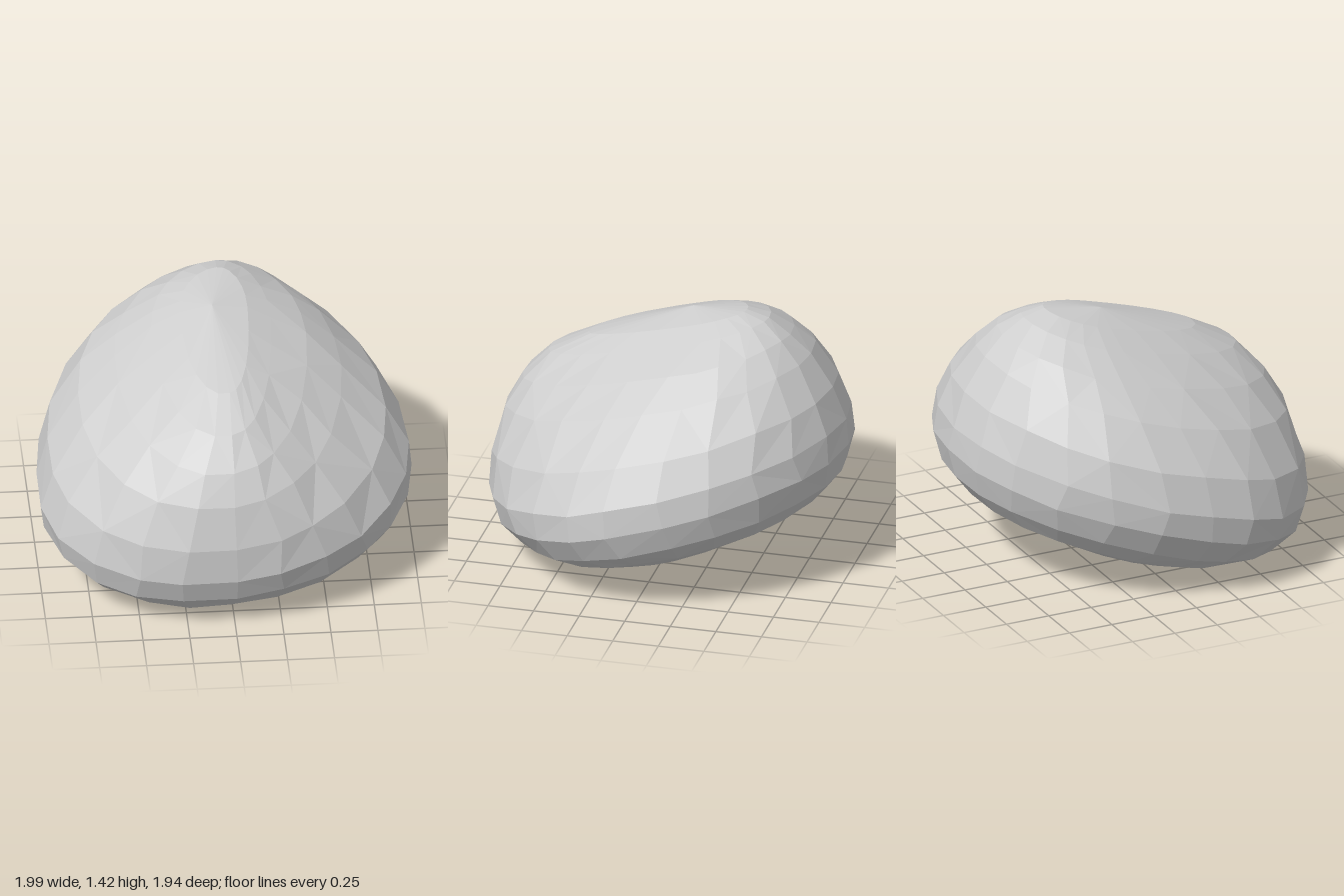
import * as THREE from 'three';

// Rings of the boulder, bottom to top:
// [height, left, right, back, front, z of widest point]
const RINGS = [
  [0.09, -0.6, 0.64, -0.58, 0.4, -0.05],
  [0.165, -0.76, 0.81, -0.84, 0.64, -0.02],
  [0.265, -0.89, 0.94, -0.93, 0.8, 0.04],
  [0.41, -0.98, 0.995, -0.97, 0.92, 0.1],
  [0.56, -1.0, 0.98, -0.95, 0.97, 0.12],
  [0.76, -0.94, 0.86, -0.88, 0.965, 0.08],
  [0.97, -0.77, 0.63, -0.76, 0.905, 0.0],
  [1.11, -0.57, 0.45, -0.65, 0.82, -0.08],
  [1.22, -0.37, 0.26, -0.53, 0.68, -0.12],
  [1.285, -0.22, 0.14, -0.41, 0.46, -0.12],
];
const SIDES = 24;
const TILT_Z = -0.27; // the whole stone leans up towards the back
const TILT_X = 0.06; // and slightly up towards its left

function boulderGeometry() {
  const points = [];
  let seed = 11;
  const jitter = (amount) => {
    seed = (seed * 16807) % 2147483647;
    return (seed / 2147483647 - 0.5) * amount;
  };
  const add = (x, h, z) => points.push(x, h + TILT_Z * z + TILT_X * x, z);

  RINGS.forEach(([h, left, right, back, front, zc], r) => {
    const rough = r === 0 || r > 7 ? 0 : 0.014;
    for (let i = 0; i < SIDES; i++) {
      const a = ((i + jitter(0.2)) / SIDES) * Math.PI * 2;
      const c = Math.cos(a), s = Math.sin(a);
      // fuller at one front corner
      const bulge = c < 0 && s > 0 ? 1 - 0.12 * c * s : 1;
      const x = c * (c > 0 ? right : -left) * bulge;
      const z = zc + s * (s > 0 ? front - zc : zc - back) * bulge;
      add(x, h + jitter(rough), z);
    }
  });
  const bottom = points.length / 3;
  add(0, 0.085, -0.05);
  const top = bottom + 1;
  add(-0.05, 1.335, -0.1);

  // Faceted skin, with the diagonals varied for a hewn look
  const index = [];
  for (let i = 0; i < SIDES; i++) {
    const j = (i + 1) % SIDES;
    for (let r = 0; r < RINGS.length - 1; r++) {
      const a = r * SIDES + i, b = r * SIDES + j;
      const d = a + SIDES, e = b + SIDES;
      if ((i * 7 + r * 3) % 5 < 3) index.push(a, d, b, b, d, e);
      else index.push(a, d, e, a, e, b);
    }
    const last = (RINGS.length - 1) * SIDES;
    index.push(bottom, i, j, top, last + j, last + i);
  }
  const geometry = new THREE.BufferGeometry();
  geometry.setAttribute('position', new THREE.Float32BufferAttribute(points, 3));
  geometry.setIndex(index);

  // Stand on the ground, centred
  geometry.computeBoundingBox();
  const box = geometry.boundingBox;
  const mid = box.getCenter(new THREE.Vector3());
  geometry.translate(-mid.x, -box.min.y, -mid.z);
  const faceted = geometry.toNonIndexed();
  faceted.computeVertexNormals();
  return faceted;
}

export function createModel() {
  const stone = new THREE.MeshStandardMaterial({ color: 0xcccccc, flatShading: true });
  stone.name = 'stone grey';
  const boulder = new THREE.Mesh(boulderGeometry(), stone);
  boulder.name = 'boulder';
  const model = new THREE.Group();
  model.name = 'rock';
  model.add(boulder);
  return model;
}
